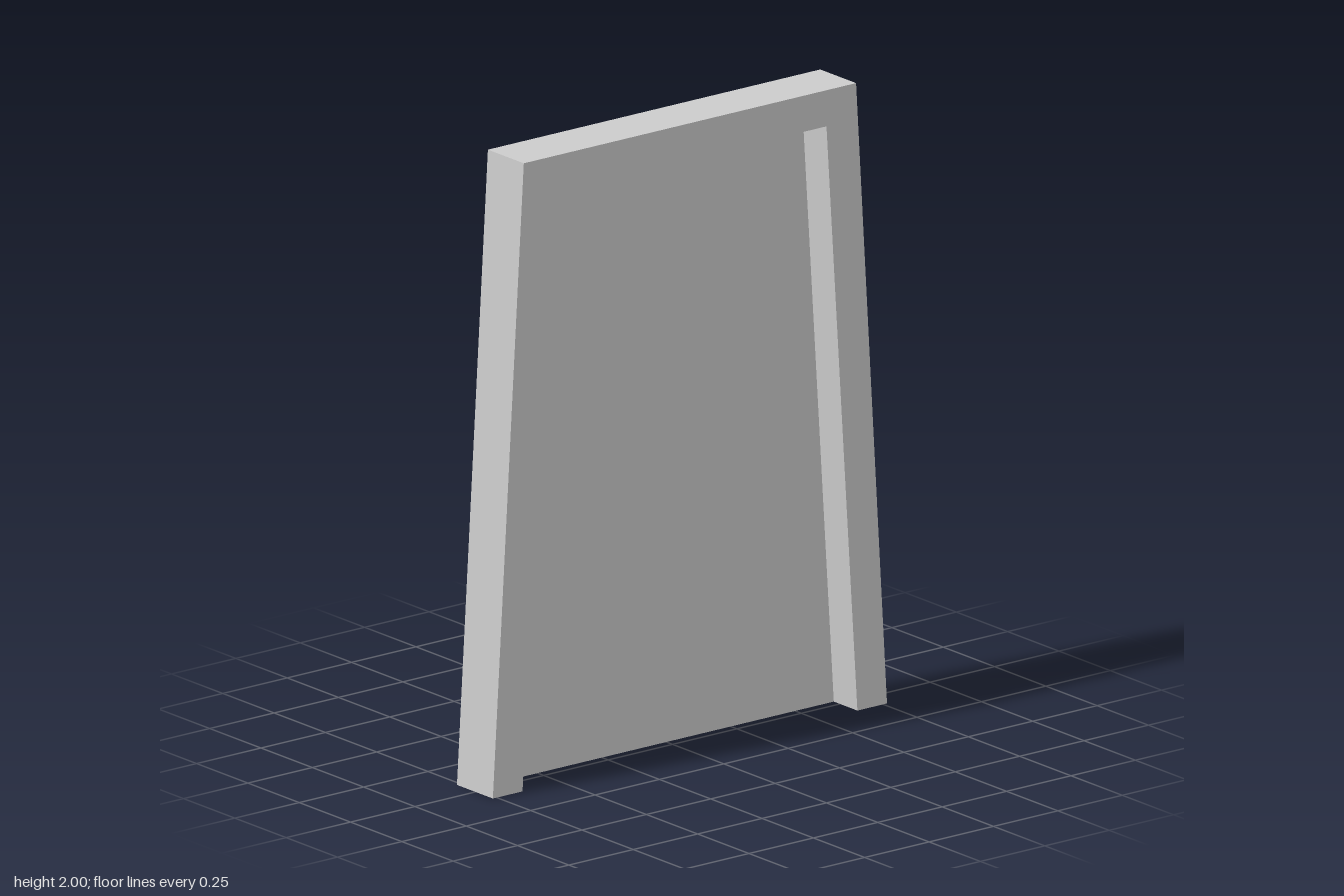
import * as THREE from 'three';

const BACK = -0.09, RECESS = -0.03, FRONT = 0.085;

// Extrudes a side-on outline of [z, y] points from x0 to x1
function slab(name, points, x0, x1, material) {
  const shape = new THREE.Shape(points.map(([z, y]) => new THREE.Vector2(-z, y)));
  const geometry = new THREE.ExtrudeGeometry(shape, { depth: x1 - x0, bevelEnabled: false });
  geometry.rotateY(Math.PI / 2);
  geometry.translate(x0, 0, 0);
  const mesh = new THREE.Mesh(geometry, material);
  mesh.name = name;
  return mesh;
}

export function createModel() {
  const group = new THREE.Group();
  group.name = 'taperedPanel';
  const material = new THREE.MeshStandardMaterial({ color: 0xcccccc, flatShading: true });

  const outer = [[0.765, 0], [0.645, 2], [-0.645, 2], [-0.765, 0]];
  const inner = [[-0.65, 0], [-0.53, 1.885], [0.53, 1.885], [0.65, 0]];

  // Flat tapered backing panel
  group.add(slab('backPanel', outer, BACK, RECESS, material));

  // Raised rim along both sides and the top, open at the bottom
  group.add(slab('rim', [...outer, ...inner], RECESS, FRONT, material));

  return group;
}
